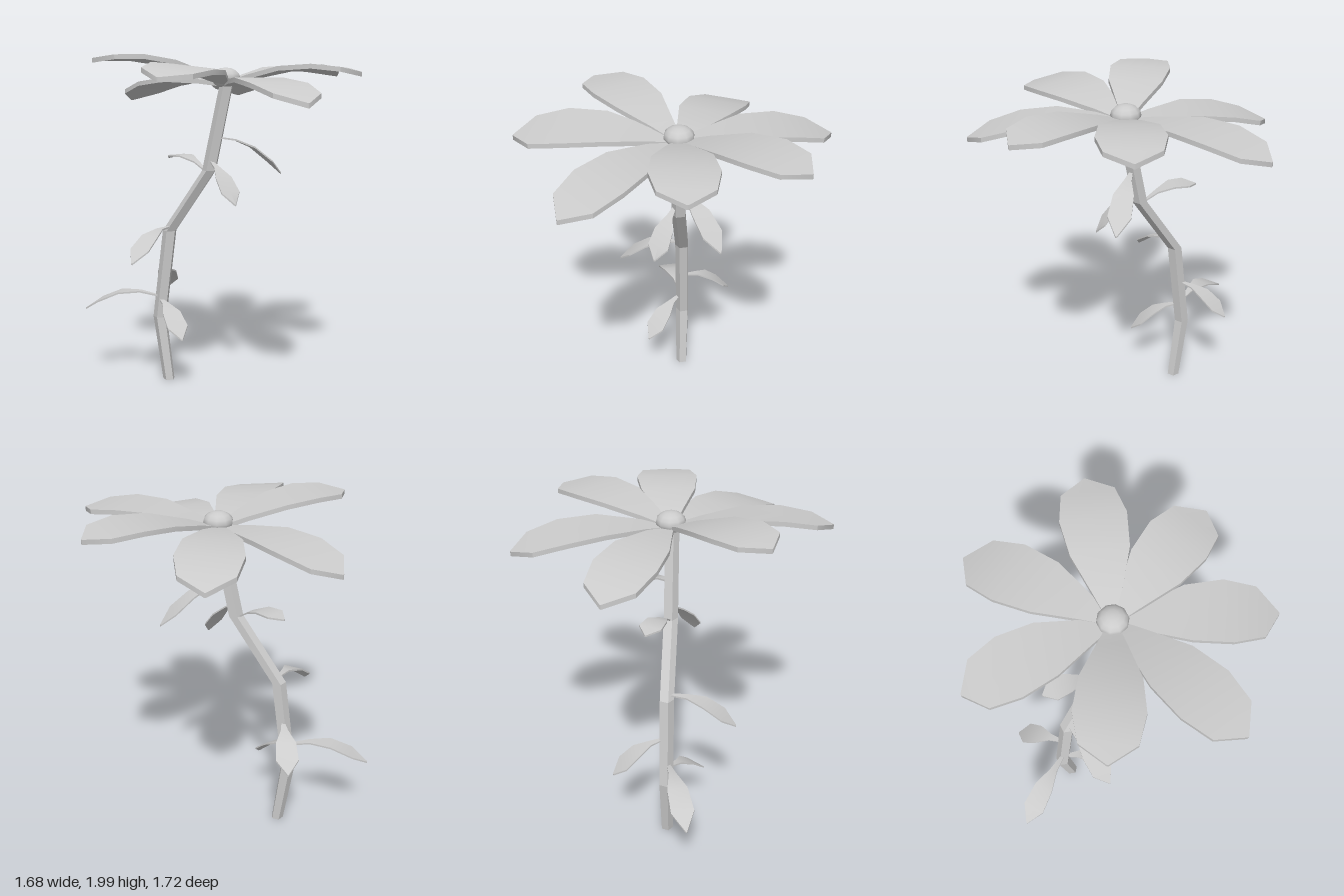
import * as THREE from 'three';
import { toCreasedNormals } from 'three/addons/utils/BufferGeometryUtils.js';

const grey = new THREE.MeshStandardMaterial({ color: 0xcccccc });
const flatGrey = new THREE.MeshStandardMaterial({ color: 0xcccccc, flatShading: true });

// Skin a list of equal-length point rings and close both ends
function loft(rings) {
  const n = rings[0].length, last = (rings.length - 1) * n, index = [];
  for (let i = 0; i < rings.length - 1; i++) {
    for (let j = 0; j < n; j++) {
      const k = (j + 1) % n, a = i * n, b = a + n;
      index.push(a + j, b + j, b + k, a + j, b + k, a + k);
    }
  }
  for (let k = 1; k < n - 1; k++) {
    index.push(0, k, k + 1, last, last + k + 1, last + k);
  }
  const g = new THREE.BufferGeometry();
  g.setAttribute('position', new THREE.Float32BufferAttribute(rings.flat(2), 3));
  g.setIndex(index);
  g.computeVertexNormals();
  return g;
}

// Arched blade from root to tip; rows are [fraction along, half width, lift]
function blade(name, root, tip, rows, arch, thickness, roll = 0) {
  const dx = tip[0] - root[0], dy = tip[1] - root[1], dz = tip[2] - root[2];
  const length = Math.hypot(dx, dz), sx = dz / length, sz = -dx / length;
  const rings = rows.map(([t, half, lift]) => {
    const at = (side, drop) => [
      root[0] + dx * t + sx * half * side,
      root[1] + dy * t + lift * arch * length + roll * half * side - drop,
      root[2] + dz * t + sz * half * side,
    ];
    return [at(-1, 0), at(0, 0), at(1, 0),
      at(1, thickness), at(0, thickness), at(-1, thickness)];
  });
  const mesh = new THREE.Mesh(toCreasedNormals(loft(rings), 0.7), grey);
  mesh.name = name;
  return mesh;
}

export function createModel() {
  const model = new THREE.Group();
  model.name = 'flower';

  // Bent five-sided stem: x, y, radius at each joint
  const joints = [[-0.33, 0, 0.037], [-0.388, 0.4, 0.044], [-0.315, 0.95, 0.044],
    [-0.045, 1.33, 0.044], [0.07, 1.85, 0.042]];
  const stem = new THREE.Mesh(loft(joints.map(([x, y, r]) =>
    Array.from({ length: 5 }, (_, i) => {
      const a = -i * Math.PI * 2 / 5;
      return [x + r * Math.sin(a), y, -0.025 + r * Math.cos(a)];
    }))), flatGrey);
  stem.name = 'stem';
  model.add(stem);

  // Domed flower centre
  const centre = new THREE.Mesh(new THREE.SphereGeometry(0.085, 10, 8), grey);
  centre.name = 'flowerCentre';
  centre.scale.y = 0.7;
  centre.position.set(0.058, 1.87, -0.03);
  model.add(centre);

  // Seven petals: tip x, y, z and sideways roll
  const petalRows = [[0, 0.02, 0], [0.18, 0.075, 0.5], [0.44, 0.155, 1],
    [0.68, 0.177, 0.95], [0.88, 0.143, 0.5], [1, 0.004, 0]];
  const petals = [
    [-0.23, 1.79, -0.86, 0], [0.51, 1.91, -0.71, 0], [0.835, 1.9, -0.13, 0],
    [0.75, 1.74, 0.5, 0], [0.1, 1.865, 0.857, -0.12], [-0.5, 1.975, 0.51, 0],
    [-0.735, 1.76, -0.3, 0],
  ];
  for (const [x, y, z, roll] of petals) {
    model.add(blade('petal', [0.06, 1.845, -0.03], [x, y, z], petalRows, 0.08, 0.026, roll));
  }

  // Seven arching leaves along the stem: root, tip
  const leafRows = [[0, 0.01, 0], [0.25, 0.022, 0.7], [0.52, 0.058, 1],
    [0.8, 0.066, 0.6], [1, 0.004, 0]];
  const leaves = [
    [[-0.39, 0.54, -0.01], [-0.84, 0.44, 0.13]],
    [[-0.36, 0.7, -0.05], [-0.49, 0.53, -0.32]],
    [[-0.37, 0.52, 0], [-0.13, 0.335, 0.175]],
    [[-0.31, 0.98, 0], [-0.35, 0.815, 0.375]],
    [[-0.07, 1.33, -0.03], [-0.375, 1.395, -0.13]],
    [[-0.02, 1.39, 0], [0.18, 1.155, 0.1]],
    [[0.02, 1.53, -0.03], [0.31, 1.31, -0.28]],
  ];
  for (const [root, tip] of leaves) {
    model.add(blade('leaf', root, tip, leafRows, 0.15, 0.01));
  }
  return model;
}
